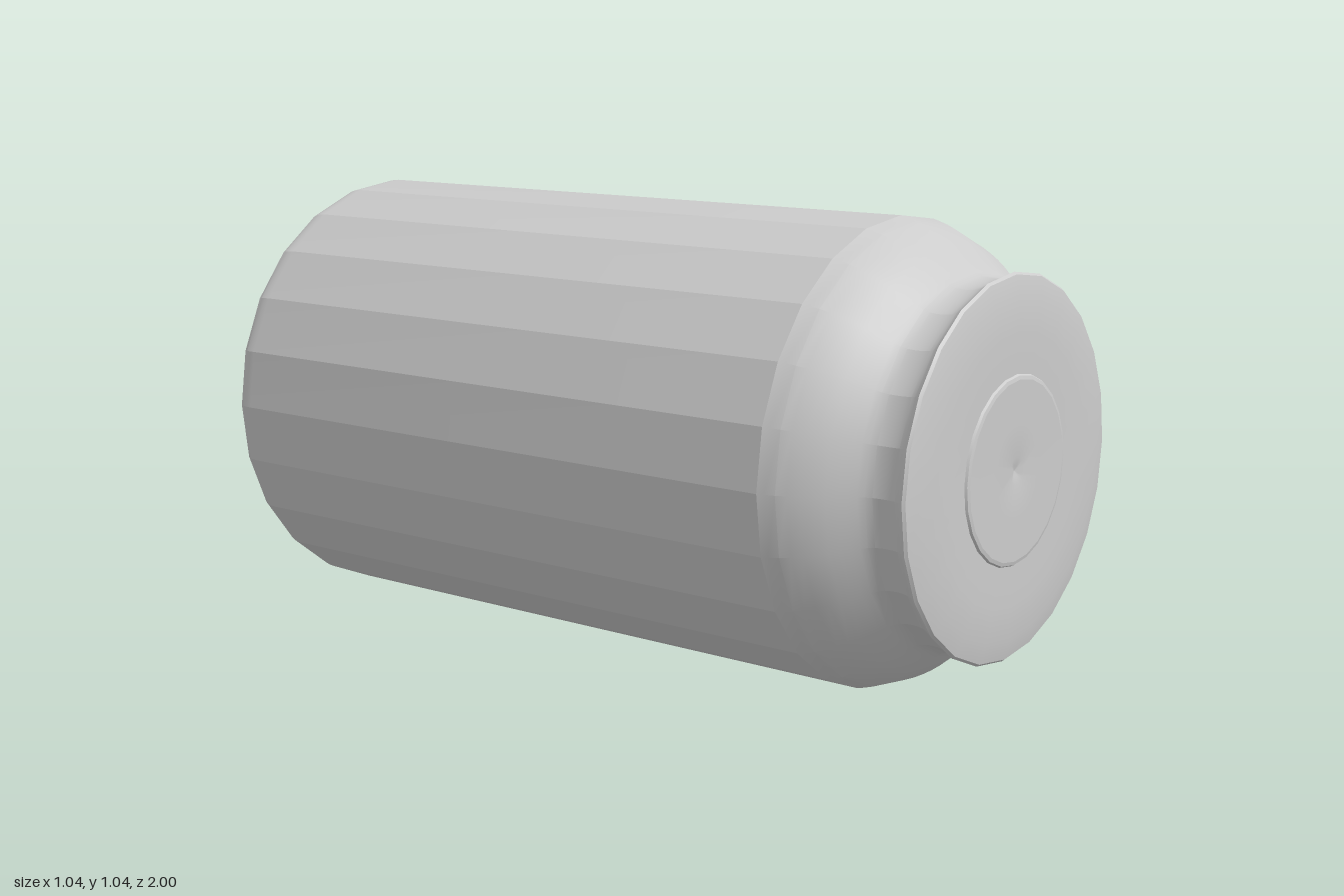
import * as THREE from 'three';
import { toCreasedNormals } from 'three/addons/utils/BufferGeometryUtils.js';

const SIDES = 24;
const AXIS_HEIGHT = 0.522;
const CREASE = 0.255; // just under one side step, so the long facets stay flat

const material = new THREE.MeshStandardMaterial({ color: 0xcccccc });

// Turns a [radius, z] profile (listed back to front) around the z axis.
function turned(name, profile) {
  const points = profile.map(([r, z]) => new THREE.Vector2(r, z));
  const lathe = new THREE.LatheGeometry(points, SIDES).rotateX(Math.PI / 2);
  const mesh = new THREE.Mesh(toCreasedNormals(lathe, CREASE), material);
  mesh.name = name;
  return mesh;
}

// Smooth run of [radius, z] points through a few guides.
function smooth(guides, steps) {
  const curve = new THREE.SplineCurve(guides.map(([r, z]) => new THREE.Vector2(r, z)));
  return curve.getPoints(steps).map((p) => [p.x, p.y]);
}

export function createModel() {
  const can = new THREE.Group();
  can.name = 'drinkCan';

  const parts = new THREE.Group();
  parts.name = 'lyingCan';
  parts.position.y = AXIS_HEIGHT;
  can.add(parts);

  // Domed base with its narrow foot
  parts.add(turned('baseDome', smooth(
    [[0, -1], [0.13, -0.998], [0.25, -0.989], [0.33, -0.976], [0.39, -0.957]], 10)));
  parts.add(turned('baseFoot', [
    [0.39, -0.957], [0.399, -0.951], [0.402, -0.94],
    ...smooth([[0.405, -0.925], [0.416, -0.913], [0.446, -0.903]], 4),
    ...smooth([[0.452, -0.897], [0.472, -0.887], [0.49, -0.868]], 4),
  ]));

  // Straight wall, rounded in at the base
  parts.add(turned('wall', [
    ...smooth([[0.49, -0.868], [0.506, -0.855], [0.515, -0.835], [0.518, -0.81]], 5),
    [0.518, 0.7],
  ]));

  // Tapered neck flaring out to the rim
  parts.add(turned('neck', smooth([
    [0.518, 0.7], [0.502, 0.75], [0.47, 0.807], [0.432, 0.855],
    [0.406, 0.89], [0.4, 0.925], [0.405, 0.957], [0.418, 0.977],
  ], 18)));

  // Lid: bevelled rim and flat face
  parts.add(turned('lid', [
    [0.418, 0.977], [0.413, 0.983], [0.37, 0.992], [0.29, 0.994], [0.206, 0.993],
  ]));

  // Raised centre disc with a small dimple
  parts.add(turned('centreDisc', [
    [0.206, 0.993], [0.203, 0.998], [0.195, 1], [0.1, 0.999], [0.03, 0.998], [0.012, 0.994], [0, 0.991],
  ]));

  return can;
}
